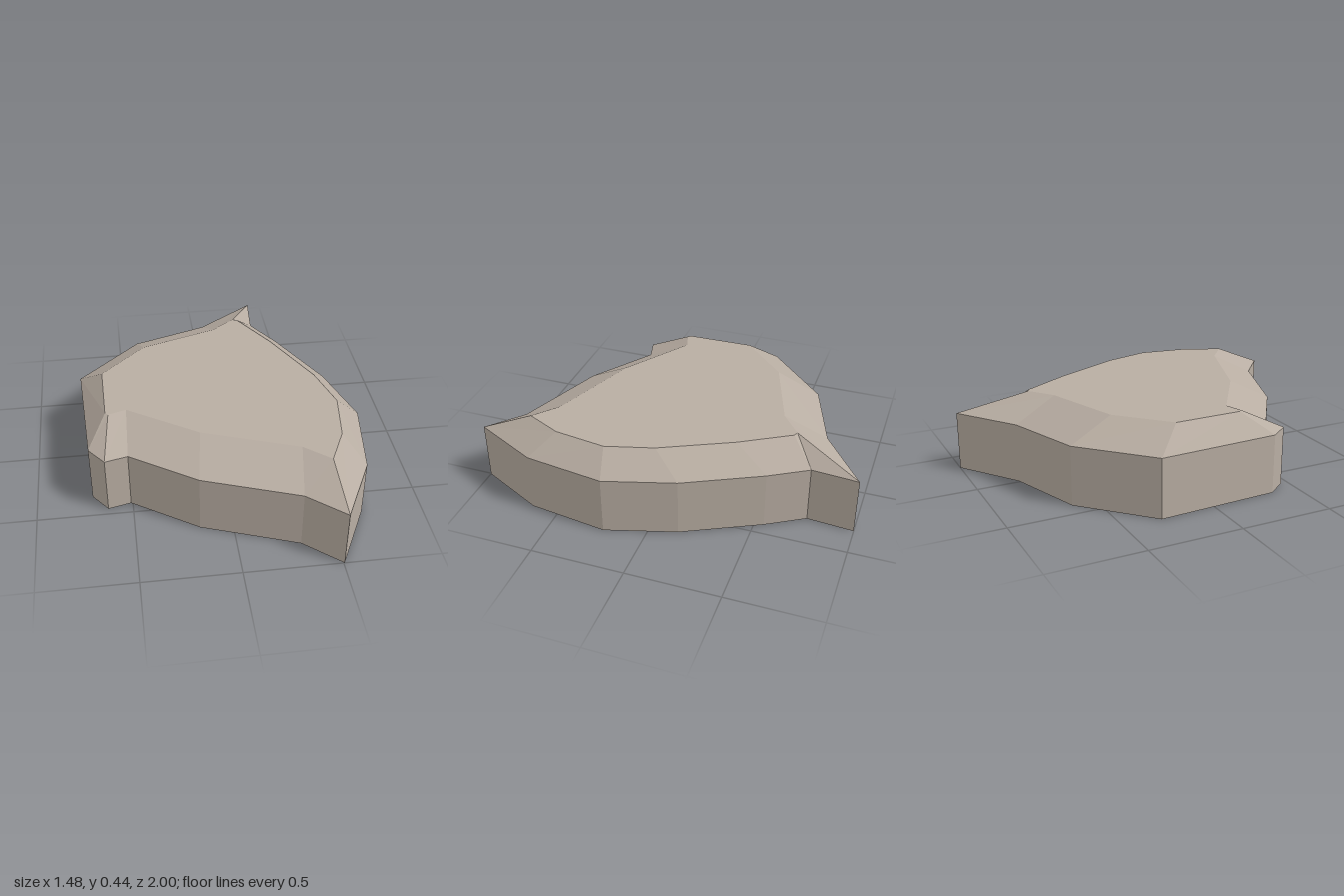
import * as THREE from 'three';

const SHOULDER = 0.317, TOP = 0.435;

// Matching points as [outer x, outer z, top x, top z], from the back tip round past +x
const OUTLINE = [
  [0.33, -1.0, 0.18, -0.64], [0.31, -0.75, 0.205, -0.63], [0.43, -0.55, 0.36, -0.37],
  [0.63, -0.15, 0.54, 0.0], [0.74, 0.22, 0.61, 0.25], [0.68, 0.65, 0.57, 0.53],
  [0.505, 1.0, 0.48, 0.72], [0.32, 0.84, 0.35, 0.61], [-0.17, 0.66, -0.14, 0.43],
  [-0.51, 0.43, -0.5, 0.19], [-0.63, 0.46, -0.595, 0.22], [-0.71, 0.355, -0.61, 0.205],
  [-0.74, -0.3, -0.615, -0.16], [-0.4, -0.63, -0.37, -0.4], [0.01, -0.77, 0.05, -0.54],
];

// Flat-faced band joining two rings
function band(lower, y0, upper, y1) {
  const pos = [];
  lower.forEach((p, i) => {
    const j = (i + 1) % lower.length;
    const a = [p[0], y0, p[1]], b = [lower[j][0], y0, lower[j][1]];
    const c = [upper[i][0], y1, upper[i][1]], d = [upper[j][0], y1, upper[j][1]];
    pos.push(...b, ...a, ...c, ...b, ...c, ...d);
  });
  const geo = new THREE.BufferGeometry();
  geo.setAttribute('position', new THREE.Float32BufferAttribute(pos, 3));
  geo.computeVertexNormals();
  return geo;
}

// Flat cap filling a ring, facing up (dir 1) or down (dir -1)
function cap(ring, y, dir) {
  const shape = new THREE.Shape(ring.map(([x, z]) => new THREE.Vector2(x, -dir * z)));
  return new THREE.ShapeGeometry(shape).rotateX(-dir * Math.PI / 2).translate(0, y, 0);
}

export function createModel() {
  const stone = new THREE.MeshStandardMaterial({ color: 0xb8ada2 });
  stone.name = 'warm grey stone';
  const outer = OUTLINE.map(([x, z]) => [x, z]);
  const inner = OUTLINE.map(([, , x, z]) => [x, z]);

  const rock = new THREE.Group();
  rock.name = 'flatRock';
  const parts = {
    sideWalls: band(outer, 0, outer, SHOULDER),
    slopedRim: band(outer, SHOULDER, inner, TOP),
    topFace: cap(inner, TOP, 1),
    underside: cap(outer, 0, -1),
  };
  for (const [name, geo] of Object.entries(parts)) {
    const mesh = new THREE.Mesh(geo, stone);
    mesh.name = name;
    rock.add(mesh);
  }
  return rock;
}
